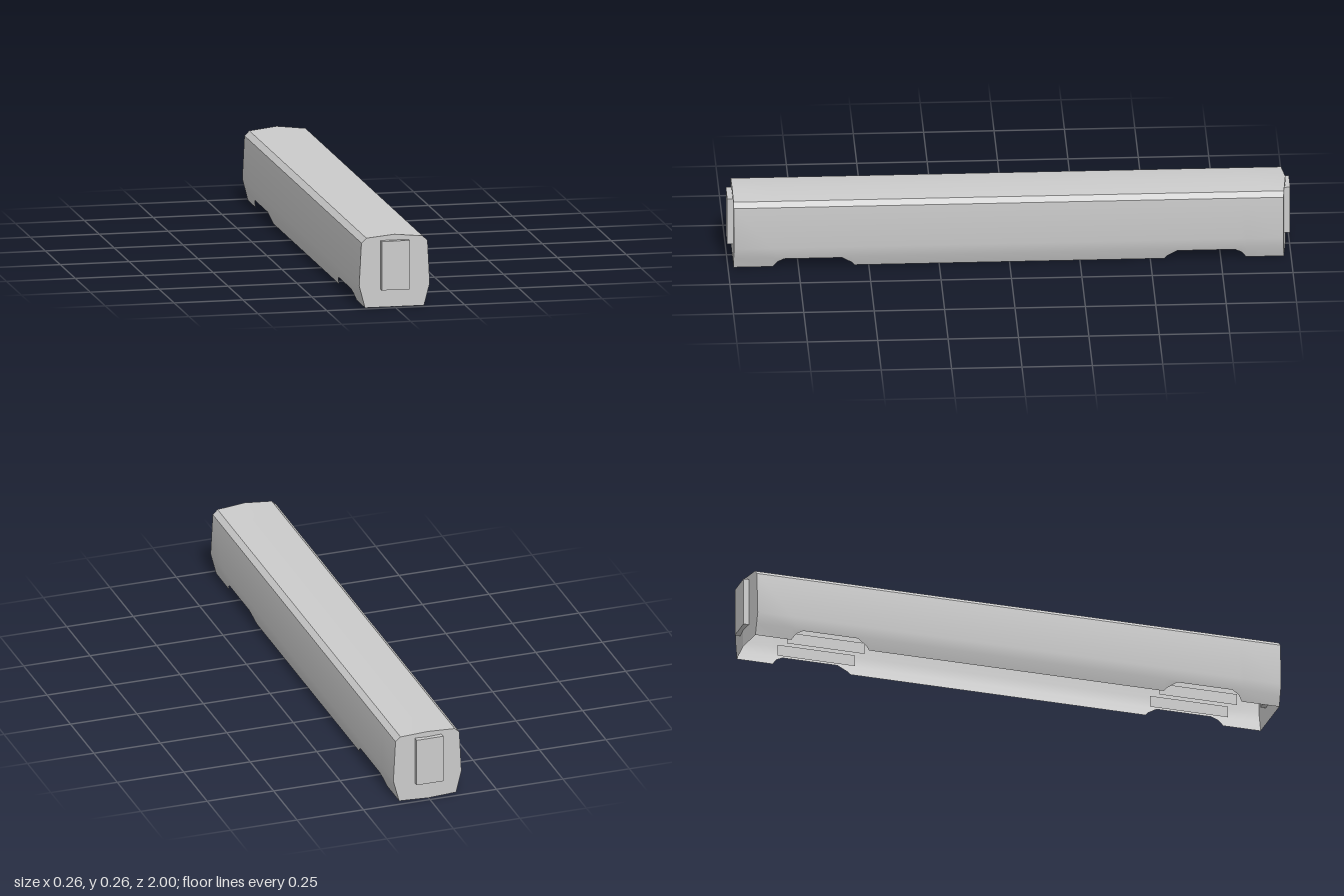
import * as THREE from 'three';
import { toCreasedNormals } from 'three/addons/utils/BufferGeometryUtils.js';

const material = new THREE.MeshStandardMaterial({ color: 0xcccccc, side: THREE.DoubleSide });
const END = 0.98;

// The rear end is slightly bowed outward along its centre line
const bowRear = (x) => -0.985 + 0.1 * Math.abs(x);

// Half cross-section from roof ridge down to skirt hem
function halfProfile(hem, isEnd) {
  const hemX = 0.107 + hem * 0.35;
  return [[0, 0.262], [0.102, 0.252], [0.12, 0.235], [0.128, 0.08],
    [isEnd ? 0.1175 : 0.121, 0.04], [hemX, hem]];
}

// Lengthwise stations: [z, hem height], with a wheel cutout near each end
const cutout = [[0.55, 0], [0.56, 0.012], [0.595, 0.035], [0.8, 0.035], [0.825, 0.022], [0.84, 0]];
const stations = [
  [-END, 0],
  ...cutout.map(([z, h]) => [-z, h]).reverse(),
  ...cutout,
  [END, 0],
];

// Hollow shell of roof and side walls, open underneath
function shellGeometry() {
  const positions = [], index = [];
  let width = 0;
  stations.forEach(([z, hem], i) => {
    const half = halfProfile(hem, i === 0 || i === stations.length - 1);
    const row = [...half.slice(1).reverse().map(([x, y]) => [-x, y]), ...half];
    width = row.length;
    row.forEach(([x, y]) => positions.push(x, y, i === 0 ? bowRear(x) : z));
  });
  for (let i = 0; i < stations.length - 1; i++) {
    for (let j = 0; j < width - 1; j++) {
      const a = i * width + j, b = a + 1, c = a + width, d = c + 1;
      index.push(a, c, b, b, c, d);
    }
  }
  const geometry = new THREE.BufferGeometry();
  geometry.setAttribute('position', new THREE.Float32BufferAttribute(positions, 3));
  geometry.setIndex(index);
  return toCreasedNormals(geometry, 0.4);
}

// One half of an end wall
function endHalf(side, rear) {
  const outline = [[0, 0], ...halfProfile(0, true)];
  const shape = new THREE.Shape(outline.map(([x, y]) => new THREE.Vector2(side * x, y)));
  const geometry = new THREE.ShapeGeometry(shape);
  if (rear) geometry.rotateY(Math.PI);
  const p = geometry.attributes.position;
  for (let i = 0; i < p.count; i++) p.setZ(i, rear ? bowRear(p.getX(i)) : END);
  geometry.computeVertexNormals();
  return geometry;
}

export function createModel() {
  const model = new THREE.Group();
  const add = (name, geometry, x = 0, y = 0, z = 0) => {
    const mesh = new THREE.Mesh(geometry, material);
    mesh.name = name;
    mesh.position.set(x, y, z);
    model.add(mesh);
    return mesh;
  };

  add('bodyShell', shellGeometry());

  for (const s of [-1, 1]) {
    add('frontWall', endHalf(s, false));
    add('rearWall', endHalf(s, true));
    // Gangway door panel, standing proud of each end wall
    add(s > 0 ? 'frontGangway' : 'rearGangway', new THREE.BoxGeometry(0.1, 0.177, 0.04), 0, 0.153, s * 0.98);
    // Thin bogie side frames behind the cutouts
    for (const side of [-1, 1]) {
      const frame = add('bogieFrame', new THREE.PlaneGeometry(0.29, 0.042), side * 0.054, 0.031, s * 0.695);
      frame.rotation.y = side * Math.PI / 2;
    }
  }
  return model;
}
